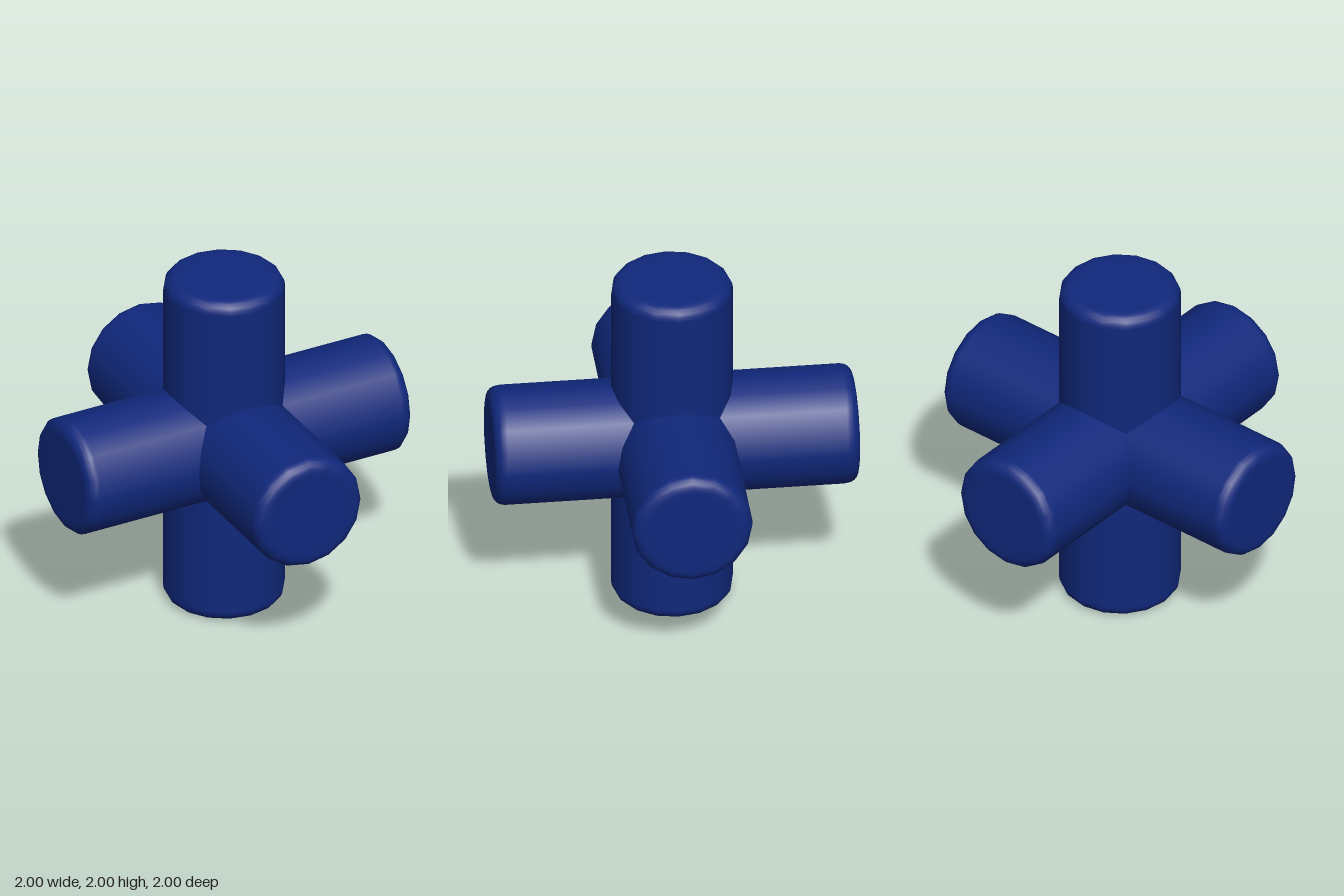
import * as THREE from 'three';

const R = 0.333, HALF = 1, BEVEL = 0.07, SIDES = 16;

// Capped bar along y with rounded rims
function barGeometry() {
  const top = [];
  for (let i = 0; i <= 5; i++) {
    const a = (i / 5) * Math.PI / 2;
    top.push(new THREE.Vector2(R - BEVEL + BEVEL * Math.cos(a), HALF - BEVEL + BEVEL * Math.sin(a)));
  }
  // Extra ring keeps the flat end evenly shaded
  top.push(new THREE.Vector2(R - BEVEL - 0.02, HALF), new THREE.Vector2(0, HALF));
  const bottom = top.map(p => new THREE.Vector2(p.x, -p.y)).reverse();
  return new THREE.LatheGeometry([...bottom, ...top], SIDES);
}

export function createModel() {
  const group = new THREE.Group();
  group.name = 'sixArmedCross';
  const material = new THREE.MeshStandardMaterial({ color: 0x10287c });
  const geometry = barGeometry();

  // One bar along each axis, crossing at the centre
  const bars = [
    ['verticalBar', 0, 0],
    ['sidewaysBar', 0, Math.PI / 2],
    ['frontToBackBar', Math.PI / 2, 0],
  ];
  for (const [name, rx, rz] of bars) {
    const bar = new THREE.Mesh(geometry, material);
    bar.name = name;
    bar.rotation.set(rx, 0, rz);
    bar.position.y = HALF;
    group.add(bar);
  }
  return group;
}
